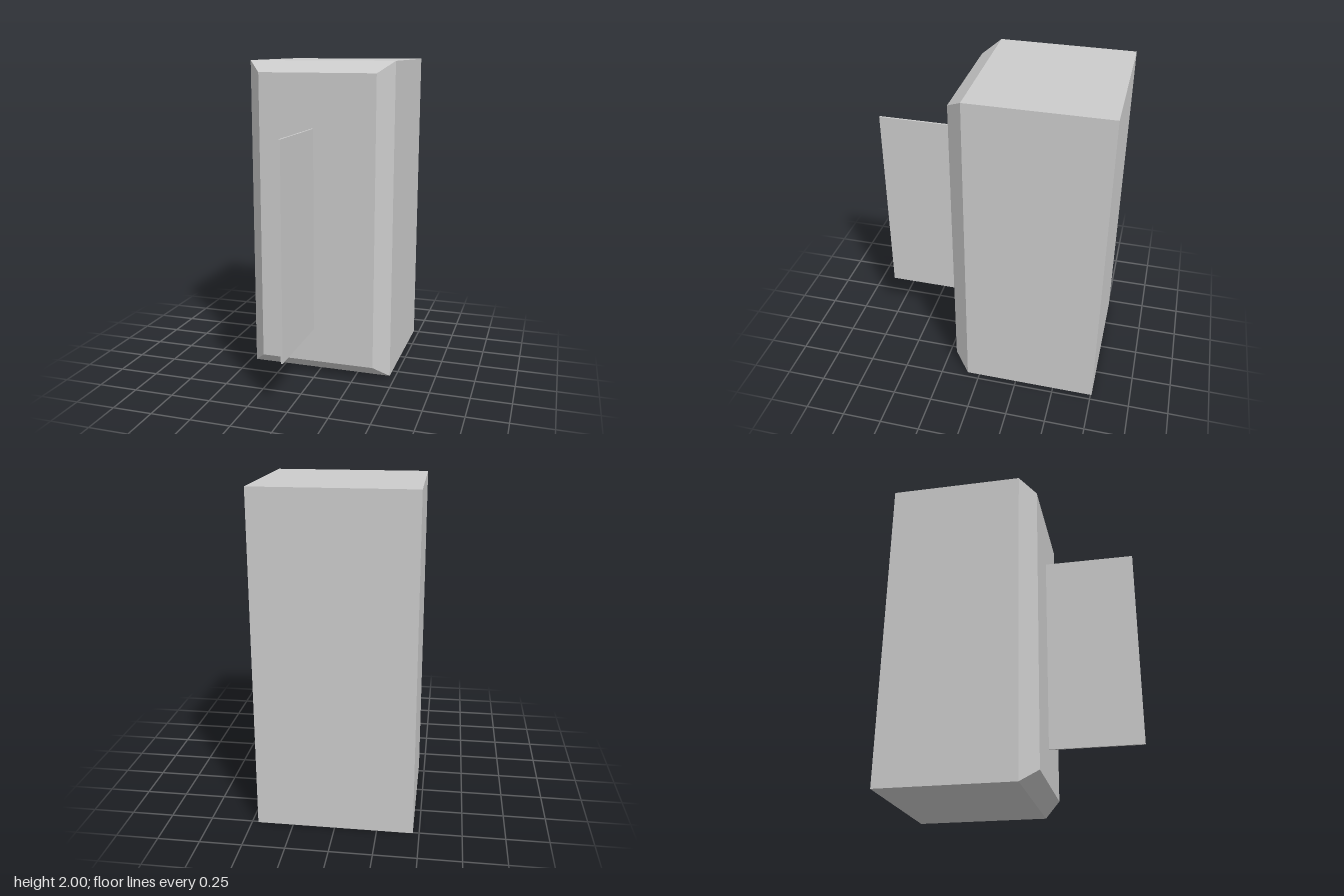
import * as THREE from 'three';

const material = new THREE.MeshStandardMaterial({ color: 0xcccccc, flatShading: true });

// Block whose front edges are chamfered on all four sides
function chamferedBlock() {
  const back = -0.757, shoulder = 0.08, front = 0.182;
  const geometry = new THREE.BoxGeometry(0.926, 2, 1, 1, 1, 2);
  const pos = geometry.attributes.position;
  for (let i = 0; i < pos.count; i++) {
    const z = pos.getZ(i);
    const y = pos.getY(i);
    if (z > 0.25) {
      // front face, inset from the outline
      pos.setXYZ(i, Math.sign(pos.getX(i)) * 0.372, y > 0 ? 1.93 : 0.085, front);
    } else {
      pos.setXYZ(i, pos.getX(i), y + 1, z < -0.25 ? back : shoulder);
    }
  }
  const flat = geometry.toNonIndexed();
  flat.computeVertexNormals();
  return flat;
}

export function createModel() {
  const model = new THREE.Group();
  model.name = 'switchBlock';

  // Main body
  const body = new THREE.Mesh(chamferedBlock(), material);
  body.name = 'body';
  model.add(body);

  // Thin upright plate projecting from the front face
  const plate = new THREE.Mesh(new THREE.BoxGeometry(0.012, 1.292, 0.575), material);
  plate.name = 'frontPlate';
  plate.position.set(-0.026, 0.949, 0.4695);
  model.add(plate);

  return model;
}
